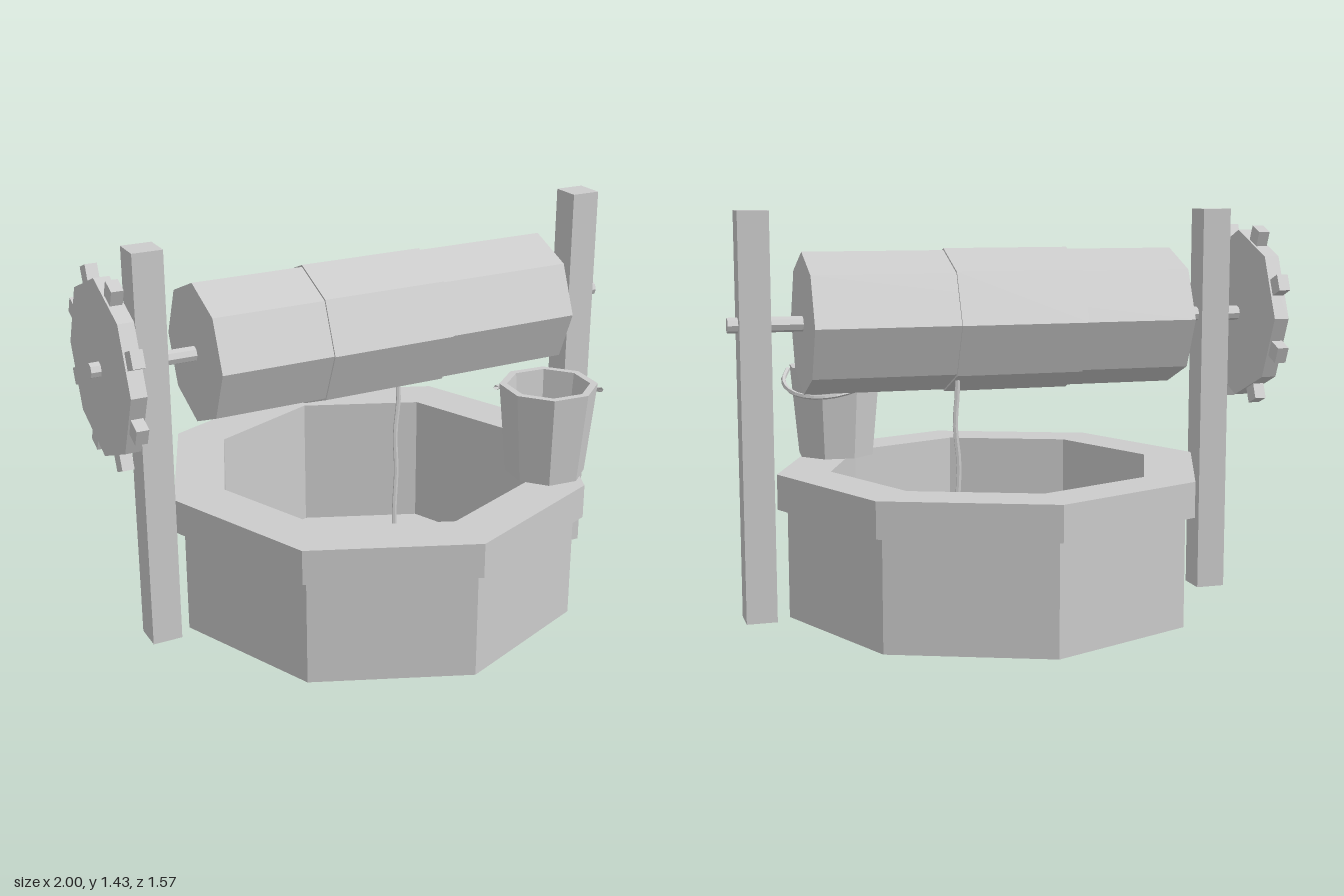
import * as THREE from 'three';

const mat = new THREE.MeshStandardMaterial({ color: 0xcccccc, flatShading: true });
const thin = new THREE.MeshStandardMaterial({ color: 0xcccccc, flatShading: true, side: THREE.DoubleSide });
const AXLE_Y = 1.04;

export function createModel() {
  const model = new THREE.Group();
  model.name = 'well';

  const add = (name, geometry, x, y, z, material = mat, parent = model) => {
    const mesh = new THREE.Mesh(geometry, material);
    mesh.name = name;
    mesh.position.set(x, y, z);
    parent.add(mesh);
    return mesh;
  };
  const lathe = (points, phi = 0) =>
    new THREE.LatheGeometry(points.map(([r, y]) => new THREE.Vector2(r, y)), 8, phi);
  // Prism lying along x between x0 and x1
  const bar = (name, r, x0, x1, sides = 8) =>
    add(name, new THREE.CylinderGeometry(r, r, x1 - x0, sides).rotateZ(Math.PI / 2), (x0 + x1) / 2, AXLE_Y, 0);

  // Octagonal wall with overhanging rim, inner wall and floor; hollow underneath
  add('wellWall', lathe([
    [0.75, 0], [0.75, 0.39], [0.785, 0.39], [0.785, 0.515],
    [0.595, 0.515], [0.595, 0.015], [0, 0.015],
  ]), 0.055, 0, 0, thin);

  // Posts
  for (const [name, x] of [['rightPost', -0.797], ['leftPost', 0.91]])
    add(name, new THREE.BoxGeometry(0.108, 1.43, 0.108), x, 0.715, 0);

  // Axle, drum and its raised middle band
  bar('axle', 0.027, -1, 1);
  bar('drum', 0.248, -0.63, 0.74);
  bar('drumBand', 0.255, -0.225, 0.235);

  // Toothed wheel: a tooth in the middle of each side
  bar('wheel', 0.311, -0.965, -0.91);
  const teeth = new THREE.Group();
  teeth.name = 'wheelTeeth';
  teeth.position.set(-0.9375, AXLE_Y, 0);
  model.add(teeth);
  for (let i = 0; i < 8; i++) {
    const a = (i + 0.5) * Math.PI / 4;
    const tooth = add('tooth', new THREE.BoxGeometry(0.042, 0.09, 0.06),
      0, Math.cos(a) * 0.299, Math.sin(a) * 0.299, mat, teeth);
    tooth.rotation.x = a;
  }

  // Rope hanging from the drum into the well
  const ropePath = new THREE.CatmullRomCurve3([
    [0.218, 0.88], [0.222, 0.78], [0.229, 0.68], [0.216, 0.54], [0.222, 0.38], [0.215, 0.22], [0.22, 0.06],
  ].map(([x, y]) => new THREE.Vector3(x, y, -0.127)));
  add('rope', new THREE.TubeGeometry(ropePath, 16, 0.01, 6).translate(0, 0, 0.127).scale(1, 1, 0.5), 0, 0, -0.127, thin);

  // Bucket standing on the rim
  const bucket = new THREE.Group();
  bucket.name = 'bucket';
  bucket.position.set(0.56, 0.515, 0.375);
  model.add(bucket);
  add('bucketBody', lathe([
    [0, 0], [0.143, 0], [0.175, 0.335], [0.148, 0.335], [0.122, 0.03], [0, 0.03],
  ], Math.PI / 10), 0, 0, 0, thin, bucket);

  // Handle folded down against the bucket
  const handlePoints = [];
  for (let i = 0; i <= 8; i++) {
    const t = i * Math.PI / 8;
    handlePoints.push(new THREE.Vector3(Math.cos(t) * 0.186, 0.315 - 0.075 * Math.sin(t), -Math.sin(t) * 0.213));
  }
  const handle = add('bucketHandle',
    new THREE.TubeGeometry(new THREE.CatmullRomCurve3(handlePoints), 16, 0.009, 5), 0, 0, 0, thin, bucket);
  handle.rotation.y = -0.54;

  return model;
}
